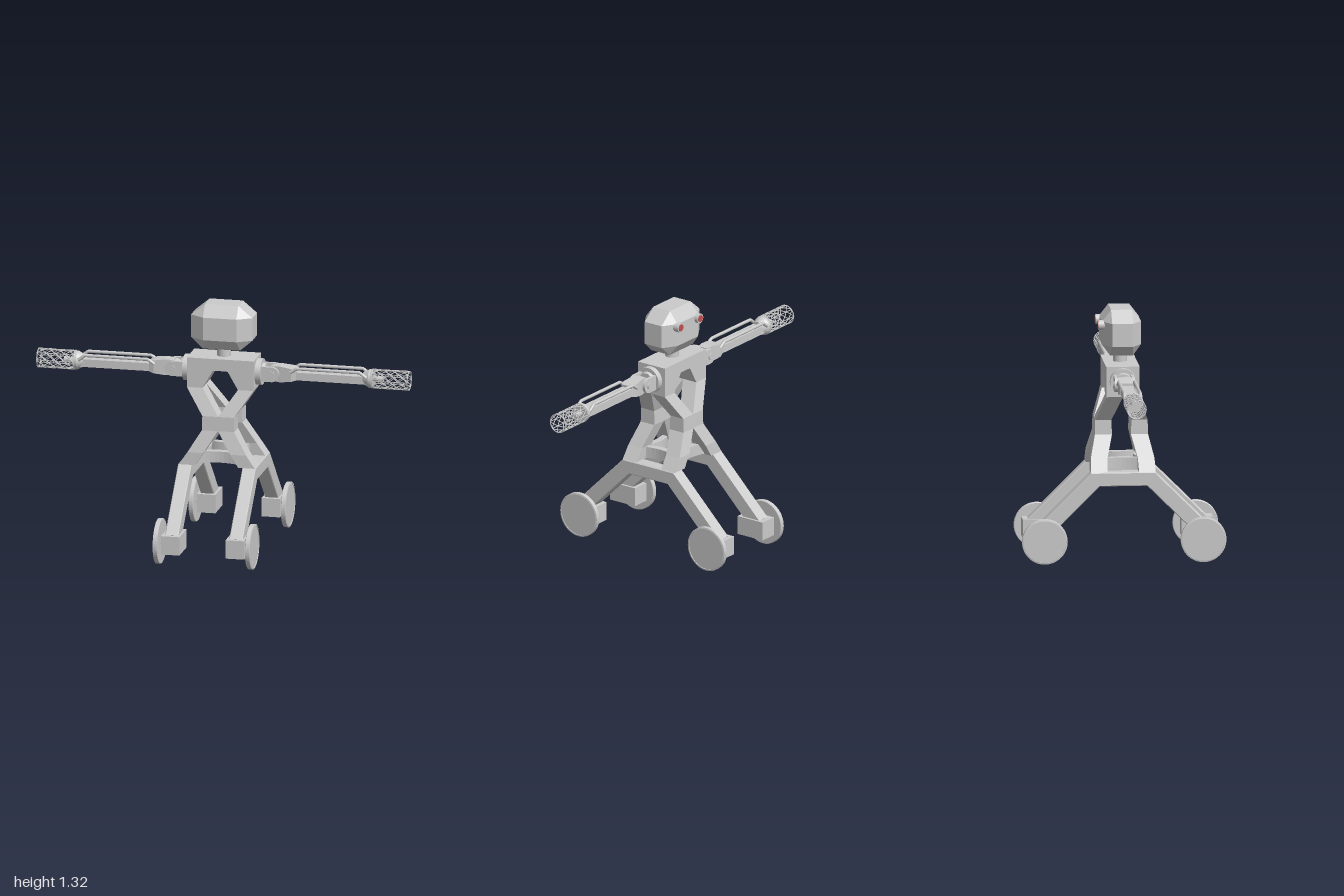
import * as THREE from 'three';
import { ConvexGeometry } from 'three/addons/geometries/ConvexGeometry.js';
import { mergeGeometries } from 'three/addons/utils/BufferGeometryUtils.js';

const grey = new THREE.MeshStandardMaterial({ color: 0xcccccc });
const red = new THREE.MeshStandardMaterial({ color: 0xc05050 });
const V = (x, y, z) => new THREE.Vector3(x, y, z);
const SIDES = [-1, 1];

function add(parent, name, geometry, x = 0, y = 0, z = 0, material = grey) {
  const mesh = new THREE.Mesh(geometry, material);
  mesh.name = name;
  mesh.position.set(x, y, z);
  parent.add(mesh);
  return mesh;
}
const box = (w, h, d) => new THREE.BoxGeometry(w, h, d);
const cylX = (r0, r1, len, n = 32) => new THREE.CylinderGeometry(r1, r0, len, n).rotateZ(-Math.PI / 2);
const cylZ = (r, len, n = 32) => new THREE.CylinderGeometry(r, r, len, n).rotateX(Math.PI / 2);

// Stack of rectangular sections [y, xIn, xOut, zIn, zOut], mirrored by sx and sz
function quarterFrame(levels, sx, sz) {
  const pos = [], idx = [];
  for (const [y, a, b, c, d] of levels)
    for (const [x, z] of [[a, c], [a, d], [b, d], [b, c]]) pos.push(x * sx, y, z * sz);
  const quad = (a, b, c, d) => sx * sz > 0 ? idx.push(a, b, c, a, c, d) : idx.push(a, c, b, a, d, c);
  const last = (levels.length - 1) * 4;
  for (let i = 0; i < last; i += 4)
    for (let k = 0; k < 4; k++) {
      const n = (k + 1) % 4;
      quad(i + k, i + 4 + k, i + 4 + n, i + n);
    }
  quad(0, 1, 2, 3);
  quad(last + 3, last + 2, last + 1, last);
  const g = new THREE.BufferGeometry();
  g.setAttribute('position', new THREE.Float32BufferAttribute(pos, 3));
  g.setIndex(idx);
  const flat = g.toNonIndexed();
  flat.computeVertexNormals();
  return flat;
}

// Square outline with inward-curving sides
function concave(path, c, d) {
  path.moveTo(c, c);
  path.quadraticCurveTo(0, d, -c, c);
  path.quadraticCurveTo(-d, 0, -c, -c);
  path.quadraticCurveTo(0, -d, c, -c);
  path.quadraticCurveTo(d, 0, c, c);
  return path;
}

function buildHead(root) {
  const head = new THREE.Group();
  head.name = 'head';
  const pts = [];
  for (const sx of SIDES) for (const sz of SIDES) {
    pts.push(V(sx * 0.09, 1.325, sz * 0.055), V(sx * 0.1, 1.083, sz * 0.06));
    for (const y of [1.14, 1.263])
      pts.push(V(sx * 0.165, y, sz * 0.055), V(sx * 0.09, y, sz * 0.103));
  }
  add(head, 'skull', new ConvexGeometry(pts));
  add(head, 'neck', new THREE.CylinderGeometry(0.036, 0.036, 0.08, 32), 0, 1.06, 0);
  for (const s of SIDES) {
    add(head, 'eye', cylZ(0.026, 0.05), s * 0.085, 1.245, -0.097);
    add(head, 'eyeLens', cylZ(0.019, 0.004), s * 0.085, 1.245, -0.1225, red);
  }
  root.add(head);
}

function buildTorso(root) {
  const levels = [
    [1.037, 0, 0.18, 0, 0.088],
    [0.973, 0, 0.18, 0, 0.088],
    [0.972, 0.04, 0.18, 0, 0.088],
    [0.876, 0.095, 0.18, 0, 0.088],
    [0.737, 0, 0.085, 0.053, 0.138],
    [0.66, 0, 0.087, 0.05, 0.14],
    [0.544, 0.072, 0.158, 0.08, 0.168],
    [0.476, 0.115, 0.205, 0.083, 0.17],
  ];
  const quarters = [];
  for (const sx of SIDES) for (const sz of SIDES) quarters.push(quarterFrame(levels, sx, sz));
  add(root, 'torso', mergeGeometries(quarters));
  // Waist brace with curved-in sides
  const brace = concave(new THREE.Shape(), 0.145, 0.07);
  brace.holes.push(concave(new THREE.Path(), 0.1, 0.04));
  const g = new THREE.ExtrudeGeometry(brace, { depth: 0.06, bevelEnabled: false, curveSegments: 12 });
  add(root, 'waistBrace', g.rotateX(Math.PI / 2), 0, 0.54, 0);
}

function buildLegs(root) {
  // Side profile of one pair of legs, front and back
  const half = [[0.167, 0.478], [0.472, 0.174], [0.43, 0.13], [0.4, 0.13], [0.125, 0.405]];
  const outline = [...half, ...half.map(([z, y]) => [-z, y]).reverse()];
  const shape = new THREE.Shape(outline.map(([z, y]) => new THREE.Vector2(z, y)));
  const legGeo = new THREE.ExtrudeGeometry(shape, {
    depth: 0.064, bevelSize: 0.004, bevelThickness: 0.004, bevelOffset: -0.004, bevelSegments: 1,
  }).rotateY(-Math.PI / 2).translate(0.032, 0, 0);
  const wheelProfile = [[0, 0.009], [0.112, 0.009], [0.112, 0.013], [0.12, 0.011], [0.12, -0.011], [0.117, -0.013], [0, -0.013]]
    .reverse().map(p => new THREE.Vector2(...p));
  for (const s of SIDES) {
    add(root, 'legPair', legGeo, s * 0.173, 0, 0);
    for (const f of SIDES) {
      const foot = new THREE.Group();
      foot.name = 'foot';
      foot.position.set(s * 0.174, 0.123, f * 0.418);
      add(foot, 'motorBox', box(0.1, 0.1, 0.165));
      add(foot, 'hub', cylX(0.035, 0.035, 0.03), s * 0.06, 0, 0);
      // Faceted lathe keeps the rim edges sharp
      const wheel = new THREE.LatheGeometry(wheelProfile, 48).toNonIndexed();
      wheel.computeVertexNormals();
      add(foot, 'wheel', wheel, s * 0.075, 0, 0).rotation.z = -s * Math.PI / 2;
      root.add(foot);
    }
  }
}

// Open lattice of crossing spirals between two rings
function latticeGeometry(x0, x1, r) {
  const parts = [];
  const count = 8;
  for (let i = 0; i < count; i++) {
    const a0 = i / count * Math.PI * 2;
    for (const turn of [-1, 0, 1]) {
      const pts = [];
      for (let k = 0; k <= 12; k++) {
        const a = a0 + turn * k / 12 * Math.PI;
        pts.push(V(x0 + (x1 - x0) * k / 12, r * Math.cos(a), r * Math.sin(a)));
      }
      parts.push(new THREE.TubeGeometry(new THREE.CatmullRomCurve3(pts), turn ? 24 : 1, 0.0025, 5));
    }
  }
  for (const x of [x0, x1 - 0.003])
    parts.push(new THREE.TorusGeometry(r, 0.003, 6, 32).rotateY(Math.PI / 2).translate(x, 0, 0));
  return mergeGeometries(parts);
}

// Arm along +x from the shoulder; the other side is the same arm turned round
function buildArm() {
  const arm = new THREE.Group();
  add(arm, 'shoulderDisc', cylX(0.07, 0.07, 0.035, 48), 0.193, 0, 0);
  add(arm, 'shoulderHub', cylX(0.05, 0.045, 0.02), 0.218, 0, 0);
  for (const s of SIDES) {
    add(arm, 'clevisPlate', box(0.06, 0.08, 0.016), 0.24, 0, s * 0.045);
    add(arm, 'clevisEnd', cylZ(0.04, 0.016), 0.268, 0, s * 0.045);
    add(arm, 'pinCap', cylZ(0.018, 0.008), 0.268, 0, s * 0.055);
  }
  add(arm, 'shoulderPin', cylZ(0.036, 0.07), 0.268, 0, 0);
  // Upper link narrows towards the elbow
  const link = [];
  for (const [x, y, z] of [[0.265, 0.04, 0.028], [0.31, 0.043, 0.035], [0.37, 0.035, 0.042], [0.395, 0.028, 0.035]])
    for (const sy of SIDES) for (const sz of SIDES) link.push(V(x, sy * y, sz * z));
  add(arm, 'upperLink', new ConvexGeometry(link));
  // Forearm: solid beam below, two slim rails above
  add(arm, 'forearmBeam', box(0.41, 0.042, 0.066), 0.575, -0.006, 0);
  const rail = [[0.365, 0.015], [0.4, 0.039], [0.74, 0.039], [0.775, 0.012]];
  for (const s of SIDES) {
    const path = new THREE.CurvePath();
    for (let i = 0; i < 3; i++)
      path.add(new THREE.LineCurve3(V(...rail[i], s * 0.042), V(...rail[i + 1], s * 0.042)));
    add(arm, 'forearmRail', new THREE.TubeGeometry(path, 48, 0.009, 8));
  }
  add(arm, 'wristCone', cylX(0.032, 0.05, 0.035), 0.768, 0, 0);
  add(arm, 'wristCollar', cylX(0.05, 0.05, 0.02), 0.795, 0, 0);
  add(arm, 'latticeHand', latticeGeometry(0.8, 1, 0.05));
  add(arm, 'handCore', cylX(0.016, 0.016, 0.06, 16), 0.83, 0, 0);
  return arm;
}

export function createModel() {
  const root = new THREE.Group();
  root.name = 'wheeledRobot';
  buildHead(root);
  buildTorso(root);
  buildLegs(root);
  for (const s of SIDES) {
    const arm = buildArm();
    arm.name = s > 0 ? 'leftArm' : 'rightArm';
    arm.position.y = 0.96;
    if (s < 0) arm.rotation.y = Math.PI;
    root.add(arm);
  }
  return root;
}
